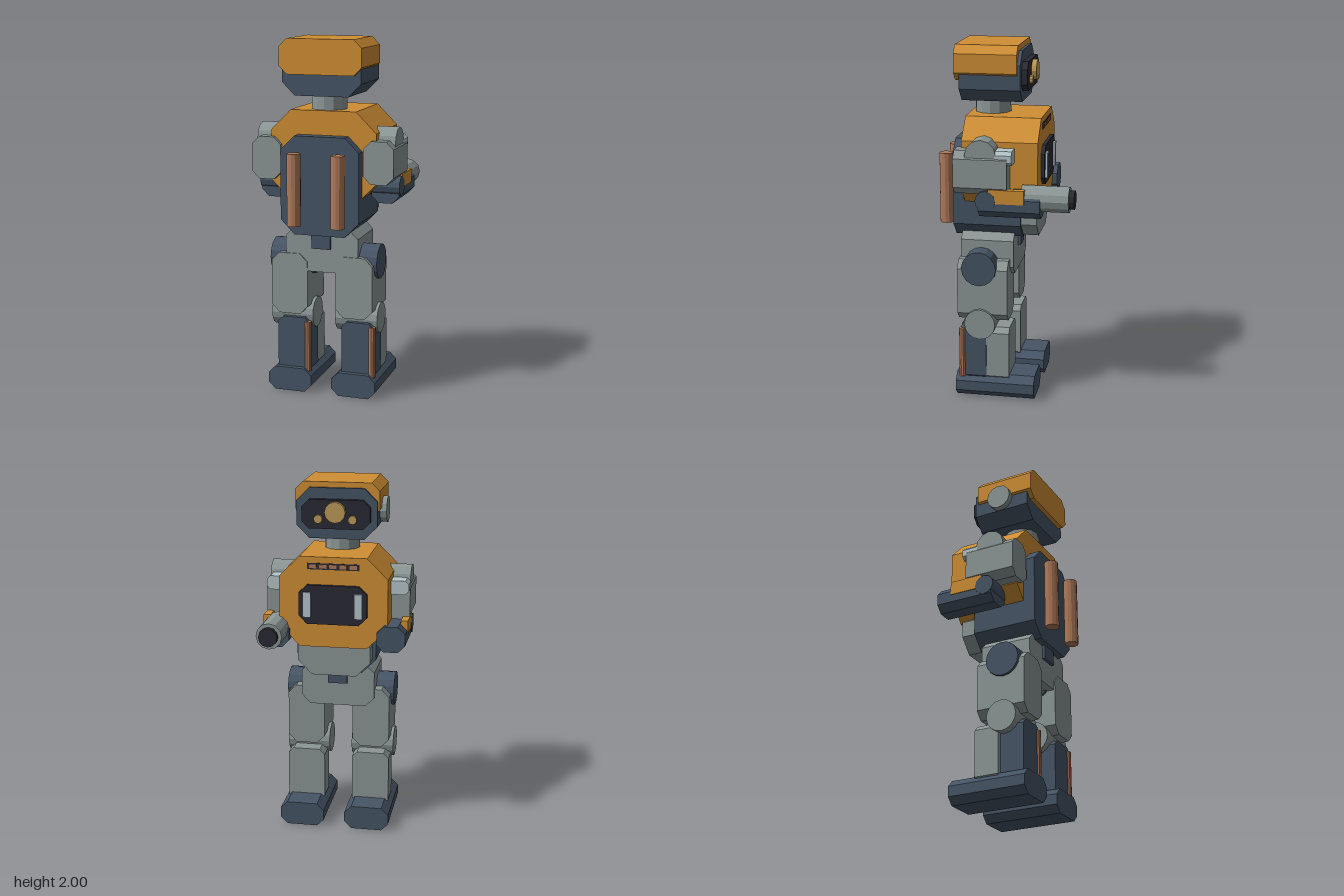
import * as THREE from 'three';

const mat = (name, color) => {
  const m = new THREE.MeshStandardMaterial({ color, flatShading: true });
  m.name = name;
  return m;
};

export function createModel() {
  const orange = mat('orange paint', 0xd08f35);
  const slate = mat('slate', 0x465566);
  const grey = mat('grey metal', 0x8c9896);
  const light = mat('light metal', 0xb6c6ca);
  const copper = mat('copper', 0xb07a5a);
  const gold = mat('gold', 0xbd9c58);
  const black = mat('black', 0x2a2a34);

  const model = new THREE.Group();
  model.name = 'robot';

  const add = (parent, name, geometry, material) => {
    const mesh = new THREE.Mesh(geometry, material);
    mesh.name = name;
    parent.add(mesh);
    return mesh;
  };

  // Prism along z with its four long edges cut off
  const prism = (parent, name, material, [x0, x1], [y0, y1], [z0, z1], c) => {
    const s = new THREE.Shape([
      [x0 + c, y0], [x1 - c, y0], [x1, y0 + c], [x1, y1 - c],
      [x1 - c, y1], [x0 + c, y1], [x0, y1 - c], [x0, y0 + c],
    ].map(([x, y]) => new THREE.Vector2(x, y)));
    const g = new THREE.ExtrudeGeometry(s, { depth: z1 - z0, bevelEnabled: false });
    return add(parent, name, g.translate(0, 0, z0), material);
  };

  const box = (parent, name, material, [x0, x1], [y0, y1], [z0, z1]) =>
    add(parent, name, new THREE.BoxGeometry(x1 - x0, y1 - y0, z1 - z0)
      .translate((x0 + x1) / 2, (y0 + y1) / 2, (z0 + z1) / 2), material);

  // Cylinder along an axis, centred on a point
  const rod = (parent, name, material, axis, r, length, pos, sides = 12) => {
    const g = new THREE.CylinderGeometry(r, r, length, sides);
    if (axis === 'x') g.rotateZ(Math.PI / 2);
    if (axis === 'z') g.rotateX(Math.PI / 2);
    return add(parent, name, g.translate(...pos), material);
  };

  const group = (name) => {
    const g = new THREE.Group();
    g.name = name;
    model.add(g);
    return g;
  };

  // Head: shell, helmet, face plate and lenses
  const head = group('head');
  prism(head, 'headShell', slate, [-0.225, 0.225], [1.69, 1.97], [-0.08, 0.258], 0.072);
  prism(head, 'helmet', orange, [-0.235, 0.235], [1.807, 2], [-0.062, 0.285], 0.045);
  prism(head, 'facePlate', black, [-0.19, 0.19], [1.75, 1.91], [-0.113, -0.07], 0.04);
  rod(head, 'mainLens', gold, 'z', 0.058, 0.04, [0, 1.845, -0.12]);
  for (const s of [-1, 1])
    rod(head, 'smallLens', gold, 'z', 0.024, 0.03, [s * 0.095, 1.805, -0.116], 10);
  rod(head, 'earDisc', grey, 'x', 0.073, 0.05, [-0.237, 1.835, 0.088]);
  rod(head, 'neck', grey, 'y', 0.1, 0.12, [0, 1.65, 0.11]);

  // Torso with chest panel, vent and belly
  const torso = group('torso');
  prism(torso, 'chest', orange, [-0.303, 0.303], [1.1, 1.61], [-0.19, 0.23], 0.115);
  prism(torso, 'chestPanel', black, [-0.19, 0.19], [1.235, 1.455], [-0.21, -0.185], 0.045);
  for (const s of [-1, 1])
    box(torso, 'panelBar', light, [s * 0.143 - 0.022, s * 0.143 + 0.022], [1.275, 1.415], [-0.222, -0.205]);
  box(torso, 'vent', black, [-0.145, 0.145], [1.54, 1.575], [-0.193, -0.187]);
  for (let i = -2; i <= 2; i++)
    box(torso, 'ventSlat', copper, [i * 0.056 - 0.02, i * 0.056 + 0.02], [1.547, 1.568], [-0.196, -0.19]);
  prism(torso, 'belly', grey, [-0.205, 0.205], [0.93, 1.18], [-0.17, -0.07], 0.08);

  // Backpack with two free-standing tubes
  prism(torso, 'backpack', slate, [-0.225, 0.225], [0.925, 1.475], [-0.082, 0.298], 0.08);
  for (const s of [-1, 1])
    rod(torso, 'backTube', copper, 'y', 0.039, 0.4, [s * 0.126, 1.187, 0.356]);

  // Pelvis
  prism(torso, 'pelvis', grey, [-0.21, 0.21], [0.71, 0.96], [-0.04, 0.258], 0.05);
  box(torso, 'waist', slate, [-0.055, 0.055], [0.845, 0.95], [-0.055, 0.275]);

  // Legs: identical copies, each with its piston on the +x side
  for (const s of [-1, 1]) {
    const leg = group(s > 0 ? 'leftLeg' : 'rightLeg');
    rod(leg, 'hipJoint', slate, 'x', 0.098, 0.246, [0, 0.77, 0.14], 16);
    prism(leg, 'thigh', grey, [-0.106, 0.106], [0.457, 0.807], [-0.02, 0.265], 0.045);
    rod(leg, 'kneeJoint', grey, 'x', 0.088, 0.246, [0, 0.443, 0.135], 16);
    prism(leg, 'shin', grey, [-0.108, 0.108], [0.1, 0.42], [-0.03, 0.11], 0.03);
    prism(leg, 'calfCover', slate, [-0.078, 0.112], [0.1, 0.43], [0.1, 0.245], 0.03);
    rod(leg, 'piston', copper, 'y', 0.02, 0.29, [0.1, 0.265, 0.238], 10);
    prism(leg, 'foot', slate, [-0.128, 0.128], [0, 0.137], [-0.175, 0.275], 0.04);
    leg.position.x = s * 0.189;
  }

  // Arms, mirrored
  for (const s of [-1, 1]) {
    const arm = group(s > 0 ? 'leftArm' : 'rightArm');
    const span = (a, b) => (s > 0 ? [a, b] : [-b, -a]);
    rod(arm, 'shoulderJoint', grey, 'x', 0.086, 0.15, [s * 0.325, 1.437, 0.107]);
    prism(arm, 'upperArm', grey, span(0.24, 0.407), [1.22, 1.457], [-0.038, 0.256], 0.04);
    prism(arm, 'shoulderBracket', light, span(0.262, 0.402), [1.385, 1.463], [-0.063, 0.03], 0.02);
    rod(arm, 'elbowJoint', slate, 'x', 0.056, 0.174, [s * 0.322, 1.19, 0.08]);
    prism(arm, 'forearm', slate, span(0.245, 0.404), [1.095, 1.24], [-0.218, 0.12], 0.04);
    box(arm, 'forearmPlate', orange, span(0.368, 0.408), [1.178, 1.255], [-0.132, 0.065]);
    // Cannon on the model's left arm only
    if (s > 0) {
      rod(arm, 'cannonBarrel', grey, 'z', 0.073, 0.26, [0.323, 1.198, -0.24]);
      rod(arm, 'cannonMuzzle', black, 'z', 0.053, 0.04, [0.323, 1.198, -0.378]);
    }
  }

  return model;
}
